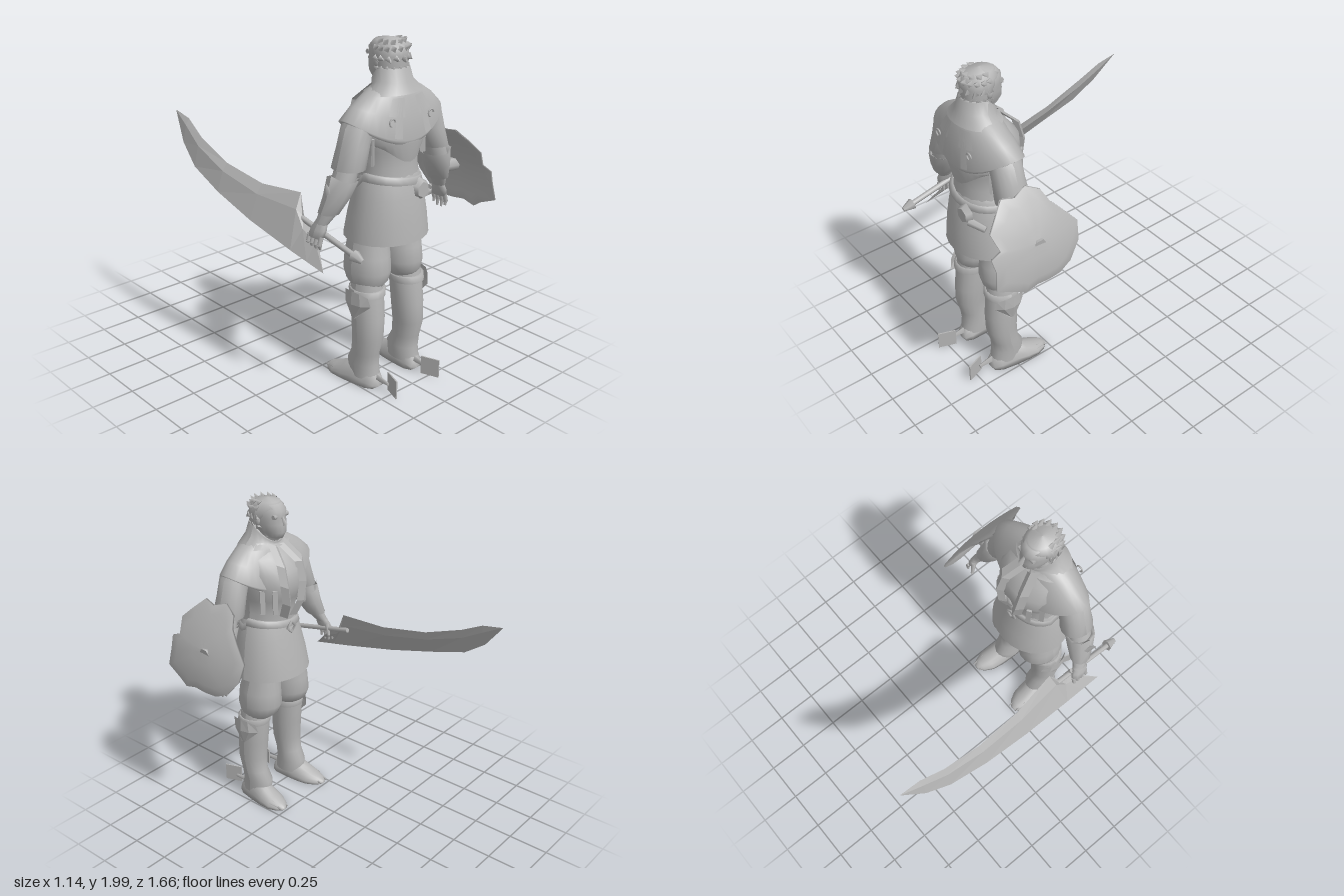
import * as THREE from 'three';

const CX = -0.012; // body axis
const CZ = 0.53;
const grey = new THREE.MeshStandardMaterial({ color: 0xb4b4b4, side: THREE.DoubleSide });
grey.name = 'plain grey';

export function createModel() {
  const root = new THREE.Group();
  const V = (x, y, z) => new THREE.Vector3(x, y, z);

  function add(name, geo) {
    const m = new THREE.Mesh(geo, grey);
    m.name = name;
    root.add(m);
    return m;
  }
  // Surface through rows of [x, y, z] points
  function skin(name, rows, closed = true, flat = false) {
    const n = rows[0].length, pos = rows.flat(2), idx = [];
    for (let r = 0; r < rows.length - 1; r++) {
      for (let i = 0; i < (closed ? n : n - 1); i++) {
        const j = (i + 1) % n, a = r * n + i, b = r * n + j;
        idx.push(a, b, a + n, b, b + n, a + n);
      }
    }
    let g = new THREE.BufferGeometry();
    g.setAttribute('position', new THREE.Float32BufferAttribute(pos, 3));
    g.setIndex(idx);
    if (flat) g = g.toNonIndexed();
    g.computeVertexNormals();
    return add(name, g);
  }
  // Stack of level ellipses [x, y, z, rx, rz], with an optional rule for the height
  function loft(name, rings, { s = 1, n = 18, from = 0, to = Math.PI * 2, drop = () => 0 } = {}) {
    const rows = rings.map(([x, y, z, rx, rz], k) => Array.from({ length: n + 1 }, (_, i) => {
      const a = from + (to - from) * i / n;
      return [CX + s * (x + rx * Math.cos(a)), y - drop(a, k), z + rz * Math.sin(a)];
    }));
    return skin(name, rows, false);
  }
  // Tapered rod from a to b
  function rod(name, a, b, r0, r1, n = 8) {
    const d = b.clone().sub(a);
    const m = add(name, new THREE.CylinderGeometry(r1, r0, d.length(), n));
    m.position.copy(a).addScaledVector(d, 0.5);
    m.quaternion.setFromUnitVectors(V(0, 1, 0), d.normalize());
    return m;
  }

  // Head, facing -z
  loft('head', [[0, 1.68, .53, .06, .065], [0, 1.76, .51, .06, .07], [0, 1.765, .47, .04, .07], [0, 1.80, .485, .068, .1],
    [0, 1.85, .50, .082, .115], [0, 1.89, .505, .086, .113], [0, 1.93, .505, .086, .118], [0, 1.965, .51, .068, .095], [0, 1.985, .51, 0, 0]]);
  rod('nose', V(CX, 1.895, .397), V(CX, 1.85, .372), .008, .017, 4);
  rod('brow', V(CX - .06, 1.9, .412), V(CX + .06, 1.9, .412), .014, .014, 6);
  rod('mouth', V(CX - .025, 1.812, .40), V(CX + .025, 1.812, .40), .009, .009, 6);
  for (const s of [1, -1]) {
    const ear = add('ear', new THREE.SphereGeometry(1, 8, 6));
    ear.scale.set(.012, .03, .02);
    ear.position.set(CX + s * .09, 1.87, .51);
  }
  // Swept back hair: a cap and rows of spikes
  loft('hairCap', [[0, 1.83, .535, .09, .085], [0, 1.9, .525, .098, .1], [0, 1.945, .515, .092, .108],
    [0, 1.975, .51, .065, .08], [0, 1.99, .51, 0, 0]], { drop: (a, k) => k ? 0 : -.1 * Math.max(0, -Math.sin(a)) });
  [[1.84, .085, 9, -.045], [1.89, .093, 8, -.02], [1.94, .09, 9, .012], [1.965, .065, 6, .025]].forEach(([y, r, n, lift], row) => {
    for (let i = 0; i <= n; i++) {
      const a = -.25 + (Math.PI + .5) * i / n, c = Math.cos(a), d = Math.sin(a);
      const h = row < 2 ? (i % 2) * .012 : 0;
      rod('hairSpike', V(CX + c * r, y, .525 + d * r), V(CX + c * (r + .008), Math.min(y + lift + h, 1.998), .555 + d * (r - .005)), .02, 0, 4);
    }
  });

  // Collar, open lower at the throat
  loft('collar', [[0, 1.84, .53, .09, .092], [0, 1.835, .53, .103, .1], [0, 1.77, .545, .115, .105], [0, 1.71, .55, .18, .13]],
    { n: 24, drop: (a, k) => (k < 2 ? .1 : k < 3 ? .05 : 0) * Math.max(0, -Math.sin(a)) });

  // Torso, short jacket and coat skirt
  loft('torso', [[0, 1.72, .55, .12, .09], [0, 1.66, .53, .2, .14], [0, 1.58, .5, .215, .175], [0, 1.48, .5, .205, .19],
    [0, 1.4, .51, .185, .17], [0, 1.31, .525, .168, .15], [0, 1.2, .53, .185, .16]]);
  loft('jacketBack', [[0, 1.62, .52, .2, .15], [0, 1.5, .525, .205, .18], [0, 1.45, .525, .2, .185], [0, 1.44, .525, .188, .165]],
    { from: -.3, to: Math.PI + .3, drop: (a, k) => k === 3 ? .1 * Math.max(0, Math.sin(a)) ** 4 : 0 });
  loft('coatSkirt', [[0, 1.27, .53, .165, .145], [0, 1.24, .53, .185, .16], [0, 1.14, .53, .212, .18],
    [0, 1.02, .525, .235, .205], [0, .89, .52, .253, .222]], { n: 24 });
  loft('belt', [[0, 1.25, .53, .172, .15], [0, 1.25, .53, .192, .168], [0, 1.21, .53, .202, .176], [0, 1.21, .53, .18, .16]],
    { n: 24, drop: a => .025 * Math.cos(a) * Math.sign(Math.sin(a)) });
  const boss = add('beltOrnament', new THREE.CylinderGeometry(.045, .065, .035, 6));
  boss.rotation.x = Math.PI / 2;
  boss.position.set(.065, 1.17, .705);
  rod('beltStrap', V(.1, 1.14, .7), V(.185, 1.11, .65), .025, .02, 6);
  const buckle = add('buckle', new THREE.TorusGeometry(.035, .009, 4, 4));
  buckle.position.set(CX, 1.21, .345);

  // Shoulder mantle with an arched hem
  const drops = [0, .02, .07, .13, .14];
  loft('mantle', [[0, 1.74, .55, .14, .095], [0, 1.71, .55, .2, .12], [0, 1.66, .545, .28, .15], [0, 1.6, .54, .347, .175], [0, 1.585, .54, .33, .16]],
    { n: 32, from: -Math.PI / 2 + .3, to: Math.PI * 1.5 - .3, drop: (a, k) => drops[k] * Math.sin(a) ** 2 });

  for (const s of [1, -1]) {
    const P = (x, y, z) => V(CX + s * x, y, z);

    // Raised plaques and a curl on the mantle's back
    const trim = { s, n: 6, drop: (a, k) => drops[k + 1] * Math.sin(a) ** 2 };
    loft('mantlePlaque', [[0, 1.716, .55, .205, .126], [0, 1.666, .545, .285, .156]], { ...trim, from: 1.0, to: 1.38 });
    loft('mantlePlaque', [[0, 1.716, .55, .205, .126], [0, 1.666, .545, .285, .156], [0, 1.61, .54, .352, .181]], { ...trim, from: 1.17, to: 1.32 });
    const curl = add('mantleCurl', new THREE.TorusGeometry(.02, .005, 5, 12, 4.5));
    curl.position.copy(P(.145, 1.585, .695));

    // Lapels and hanging strips
    skin('lapel', [[.035, 1.72, .43], [.075, 1.62, .325], [.08, 1.5, .295], [.06, 1.38, .3], [.04, 1.28, .345]].map(([x, y, z]) =>
      [[x - .035, y, z + .02], [x, y, z - .008], [x + .035, y + .02, z + .025]].map(p => [CX + s * p[0], p[1], p[2]])), false, true);
    for (const [x, z] of [[.13, .35], [.175, .41], [.19, .6]]) {
      const strip = add('hangingStrip', new THREE.BoxGeometry(.03, .15, .012));
      strip.position.copy(P(x, 1.41, z));
      strip.rotation.y = s * -.6;
    }

    // Arm
    loft('sleeve', [[.2, 1.64, .55, .07, .08], [.255, 1.56, .55, .088, .09], [.285, 1.46, .55, .088, .09], [.318, 1.345, .55, .088, .1], [.322, 1.35, .55, .06, .07]], { s });
    loft('forearm', [[.32, 1.38, .55, .06, .065], [.355, 1.27, .548, .068, .07], [.4, 1.16, .53, .058, .062], [.445, 1.07, .5, .036, .045], [.455, 1.05, .49, .03, .045]], { s });
    loft('bracer', [[.35, 1.28, .55, .068, .07], [.352, 1.29, .55, .088, .088], [.385, 1.2, .537, .076, .078], [.425, 1.11, .515, .058, .062], [.427, 1.105, .514, .035, .045]],
      { s, n: 10, drop: (a, k) => k === 1 ? -.035 * Math.max(0, Math.cos(a)) ** 3 : 0 });
    rod('bracerSpike', P(.44, 1.22, .53), P(.485, 1.3, .56), .025, 0, 4);
    loft('palm', [[.45, 1.07, .495, .028, .035], [.468, 1.02, .485, .03, .055], [.482, .975, .475, .024, .055], [.485, .965, .475, 0, 0]], { s, n: 10 });
    for (let i = 0; i < 4; i++) {
      const z = .43 + i * .03, e = i % 3 ? .9 : .915;
      rod('finger', P(.482, .985, z), P(.495, .94, z), .014, .013, 6);
      rod('fingertip', P(.495, .943, z), P(.488, e, z), .013, .007, 6);
    }
    rod('thumb', P(.45, 1.03, .44), P(.43, .965, .41), .016, .009, 6);

    // Leg
    loft('trouser', [[.11, .99, .5, .1, .115], [.115, .89, .495, .106, .12], [.125, .79, .503, .121, .138], [.127, .7, .505, .125, .146],
      [.13, .64, .51, .11, .126], [.14, .605, .52, .08, .09]], { s });
    loft('shinBoot', [[.15, .64, .53, .085, .092], [.155, .56, .535, .094, .098], [.158, .42, .55, .091, .1], [.162, .3, .555, .084, .096],
      [.164, .2, .54, .076, .086], [.16, .13, .52, .078, .103], [.16, .05, .53, .076, .105]], { s });
    loft('bootCuff', [[.153, .6, .535, .09, .09], [.153, .6, .535, .102, .108], [.156, .56, .54, .1, .105]], { s });
    skin('kneeGuard', [[.61, .8, .125], [.53, .95, .13], [.44, .1, .11]].map(([y, h, r]) => [-1, -.5, 0, .5, 1].map(t =>
      [CX + s * (.153 + r * Math.cos(t * h)), y + (y > .6 ? -.025 * t * t : 0), .54 + .125 * Math.sin(t * h)])), false, true);

    // Foot: flat-soled sections from heel to toe
    const foot = [[.645, 0, 0], [.64, .045, .06], [.6, .068, .11], [.5, .078, .14], [.42, .08, .095], [.35, .075, .06], [.295, .05, .04], [.265, .02, .018], [.262, 0, 0]];
    skin('foot', foot.map(([z, w, h]) => Array.from({ length: 12 }, (_, i) => {
      const a = Math.PI * i / 11;
      return [CX + s * (.158 + (.64 - z) * .09 + w * Math.cos(a)), .003 + h * Math.sin(a), z];
    })));
    for (const x of [.165, .222]) rod('toeClaw', P(x, .03, .35), P(x, .015, .26), .024, .002, 5);

    // Spur behind the heel
    const spur = add('spurPlate', new THREE.BoxGeometry(.008, .112, .112));
    spur.position.copy(P(.155, .058, .752));
    spur.rotation.y = s * .35;
    rod('spurArm', P(.155, .06, .6), P(.155, .05, .72), .025, .012, 4);
  }

  // Shield on the left arm: ragged outline [z, y], bowed outwards
  const edge = [[.73, 1.38], [.67, 1.435], [.59, 1.42], [.51, 1.445], [.43, 1.405], [.4, 1.34], [.34, 1.275], [.26, 1.18], [.275, 1.075], [.35, .98],
    [.43, .945], [.51, .945], [.59, .955], [.67, .935], [.72, .97], [.835, 1.02], [.82, 1.13], [.83, 1.2], [.77, 1.225], [.795, 1.315]];
  const bow = (z, y) => .57 - .95 * Math.max(0, y - .98) ** 2 - .35 * (z - .6) ** 2;
  const shieldRows = off => [0, .3, .55, .8, 1].map(t => edge.map(([ez, ey]) => {
    const z = .55 + (ez - .55) * t, y = 1.19 + (ey - 1.19) * t;
    return [bow(z, y) - off, y, z];
  }));
  skin('shield', [...shieldRows(0), ...shieldRows(.012).reverse()]);
  rod('shieldGrip', V(.43, 1.18, .54), V(.53, 1.17, .54), .04, .04, 6);

  // Curved sword in the right hand: pairs of spine and edge points
  const blade = [[[-.46, .99, .42], [-.55, .82, .6]], [[-.455, 1.04, .33], [-.555, .845, .47]], [[-.43, 1.155, .28], [-.56, .87, .34]],
    [[-.475, 1.14, 0], [-.57, .945, 0]], [[-.497, 1.19, -.3], [-.57, 1.03, -.3]], [[-.495, 1.285, -.55], [-.553, 1.115, -.55]],
    [[-.478, 1.365, -.7], [-.525, 1.225, -.7]], [[-.478, 1.39, -.83], [-.48, 1.385, -.83]]];
  skin('swordBlade', blade.map(([p, q], i) => {
    const w = i === blade.length - 1 ? 0 : .011;
    const mid = k => p.map((v, c) => v * .7 + q[c] * .3 + (c === 0 ? k : c === 1 ? -k * .4 : 0));
    return [p, mid(w), q, mid(-w)];
  }), true, true);
  rod('swordHandle', V(-.462, 1.04, .27), V(-.458, .935, .76), .016, .016, 8);
  rod('pommel', V(-.458, .94, .735), V(-.458, .925, .8), .036, .014, 6);

  return root;
}
